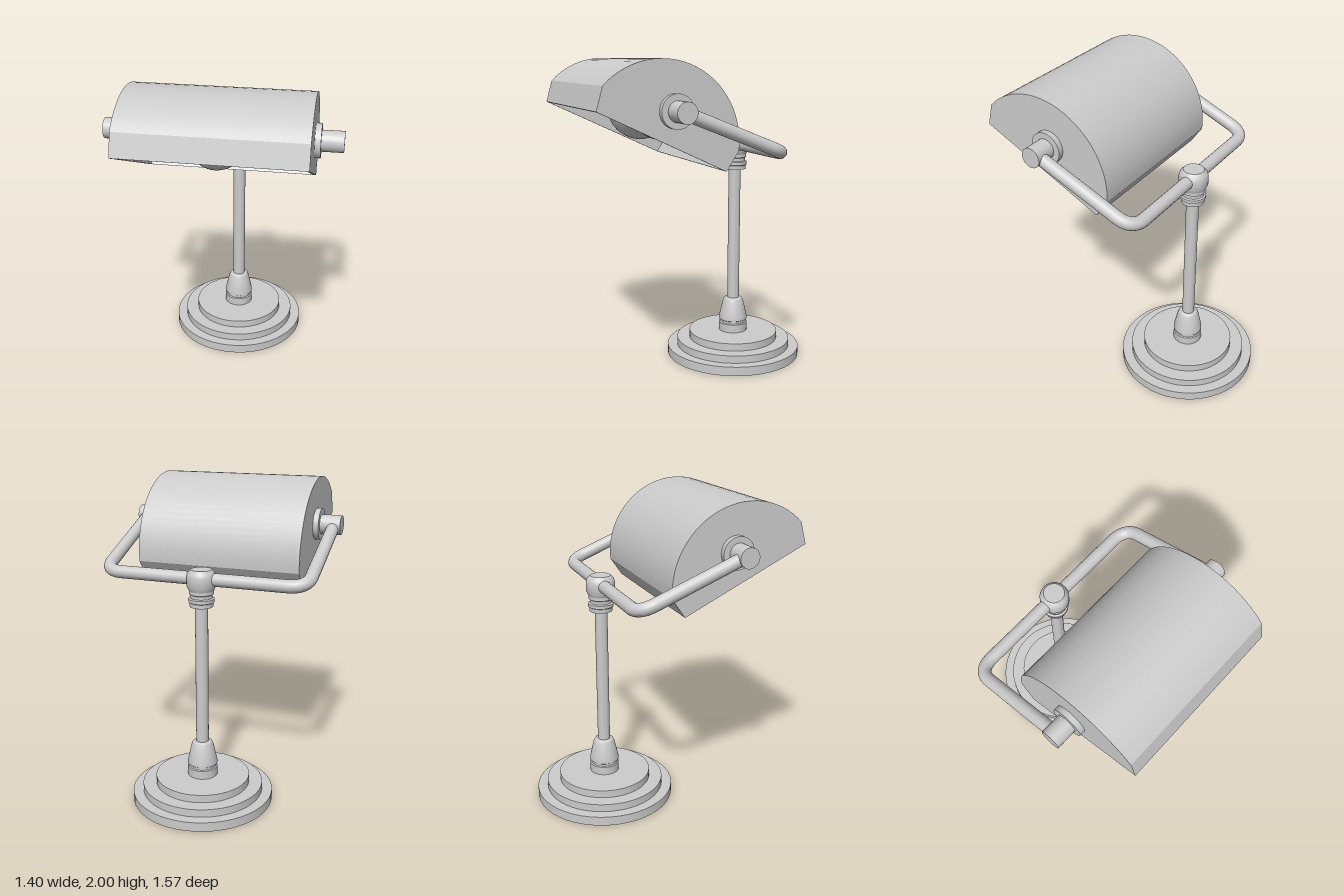
import * as THREE from 'three';
import { toCreasedNormals } from 'three/addons/utils/BufferGeometryUtils.js';

const STEM_Z = -0.335;
const HUB = { y: 1.71, z: 0.32 };
const material = new THREE.MeshStandardMaterial({ color: 0xcccccc, side: THREE.DoubleSide });

function addMesh(parent, name, geometry, crease = 0.5) {
  const mesh = new THREE.Mesh(toCreasedNormals(geometry, crease), material);
  mesh.name = name;
  parent.add(mesh);
  return mesh;
}

// Turned part from [radius, height] pairs
function turned(points, segments = 40) {
  return new THREE.LatheGeometry(points.map(([r, h]) => new THREE.Vector2(r, h)), segments);
}

// Shade cross-section: straight skirts joined by an arc, tilted forward
function shadeProfile(inset) {
  const r = 0.484 - inset, start = 0.337, steps = 28;
  const local = [[0.434 - inset, 0]];
  for (let i = 0; i <= steps; i++) {
    const a = start + (Math.PI - 2 * start) * i / steps;
    local.push([r * Math.cos(a), -0.02 + r * Math.sin(a)]);
  }
  local.push([-0.434 + inset, 0]);
  const c = 0.905, s = 0.426;
  return local.map(([u, v]) => new THREE.Vector2(-(0.392 + c * u - s * v), 1.535 + s * u + c * v));
}

// Extrude a side outline along x
function extrudeX(points, x0, x1) {
  const geometry = new THREE.ExtrudeGeometry(new THREE.Shape(points), { depth: x1 - x0, bevelEnabled: false });
  return geometry.rotateY(Math.PI / 2).translate(x0, 0, 0);
}

export function createModel() {
  const model = new THREE.Group();
  model.name = 'deskLamp';

  // Stepped base, pedestal and stem
  const stand = new THREE.Group();
  stand.name = 'stand';
  stand.position.z = STEM_Z;
  model.add(stand);
  addMesh(stand, 'base', turned([
    [0, 0], [0.45, 0], [0.45, 0.06], [0.385, 0.06], [0.385, 0.11], [0.3, 0.11], [0.3, 0.16], [0, 0.16],
  ], 48));
  addMesh(stand, 'pedestal', turned([
    [0.095, 0.16], [0.095, 0.215], [0.088, 0.22], [0.088, 0.235], [0.095, 0.24], [0.094, 0.26],
    [0.07, 0.365], [0.062, 0.384], [0.05, 0.392], [0, 0.392],
  ]));
  addMesh(stand, 'stem', new THREE.CylinderGeometry(0.04, 0.04, 1.16, 32).translate(0, 0.91, 0));
  addMesh(stand, 'collar', turned([
    [0, 1.28], [0.072, 1.28], [0.072, 1.305], [0.08, 1.31], [0.08, 1.33], [0.068, 1.335], [0.068, 1.355],
    [0.076, 1.36], [0.076, 1.385], [0.068, 1.39], [0.068, 1.41], [0, 1.41],
  ]));
  addMesh(stand, 'joint', turned([
    [0, 1.38], [0.076, 1.38], [0.09, 1.41], [0.09, 1.465], [0.084, 1.487], [0.064, 1.508], [0, 1.508],
  ]), 0.7);

  // Bent yoke carrying the shade
  const yoke = new THREE.CurvePath();
  const at = (x, t) => new THREE.Vector3(x, 1.7 - 0.25 * t, 0.3 + (STEM_Z - 0.3) * t);
  const bend = 0.1, tBend = 0.85;
  yoke.add(new THREE.LineCurve3(at(-0.65, 0), at(-0.65, tBend)));
  yoke.add(new THREE.QuadraticBezierCurve3(at(-0.65, tBend), at(-0.645, 0.985), at(-0.65 + bend, 1)));
  yoke.add(new THREE.LineCurve3(at(-0.65 + bend, 1), at(0.65 - bend, 1)));
  yoke.add(new THREE.QuadraticBezierCurve3(at(0.65 - bend, 1), at(0.645, 0.985), at(0.65, tBend)));
  yoke.add(new THREE.LineCurve3(at(0.65, tBend), at(0.65, 0)));
  addMesh(model, 'yoke', new THREE.TubeGeometry(yoke, 160, 0.04, 20), 0.8);

  // Hollow shade with end plates
  const outer = shadeProfile(0);
  addMesh(model, 'shadeShell', extrudeX([...outer, ...shadeProfile(0.012).reverse()], -0.52, 0.52));
  for (const side of [-1, 1]) {
    const name = side > 0 ? 'left' : 'right';
    const x = side * 0.5275;
    addMesh(model, name + 'ShadeEnd', extrudeX(outer, x - 0.0075, x + 0.0075));

    // Pivot disc and knob
    const hub = (r, x0, x1) => new THREE.CylinderGeometry(r, r, x1 - x0, 32)
      .rotateZ(Math.PI / 2).translate(side * (x0 + x1) / 2, HUB.y, HUB.z);
    addMesh(model, name + 'PivotDisc', hub(0.1, 0.53, 0.57));
    addMesh(model, name + 'PivotKnob', hub(0.062, 0.56, 0.7));
  }

  // Bulb and ribbed socket lying along x
  const lampAxis = new THREE.Group();
  lampAxis.name = 'bulbAssembly';
  lampAxis.position.set(0, HUB.y, HUB.z);
  lampAxis.rotation.z = -Math.PI / 2;
  model.add(lampAxis);
  const bulb = [];
  for (let i = 0; i <= 18; i++) {
    const a = i / 18 * 2.15;
    bulb.push([0.208 * Math.sin(a), -0.03 - 0.19 * Math.cos(a)]);
  }
  bulb.push([0.157, 0.11], [0.15, 0.15], [0.148, 0.21]);
  addMesh(lampAxis, 'bulb', turned(bulb), 0.8);
  addMesh(lampAxis, 'socket', turned([
    [0, 0.2], [0.165, 0.2], [0.165, 0.255], [0.155, 0.26], [0.17, 0.275], [0.18, 0.3], [0.18, 0.325],
    [0.17, 0.35], [0.155, 0.36], [0.155, 0.37], [0.17, 0.375], [0.17, 0.46], [0.152, 0.465], [0.152, 0.522],
  ]));
  return model;
}
